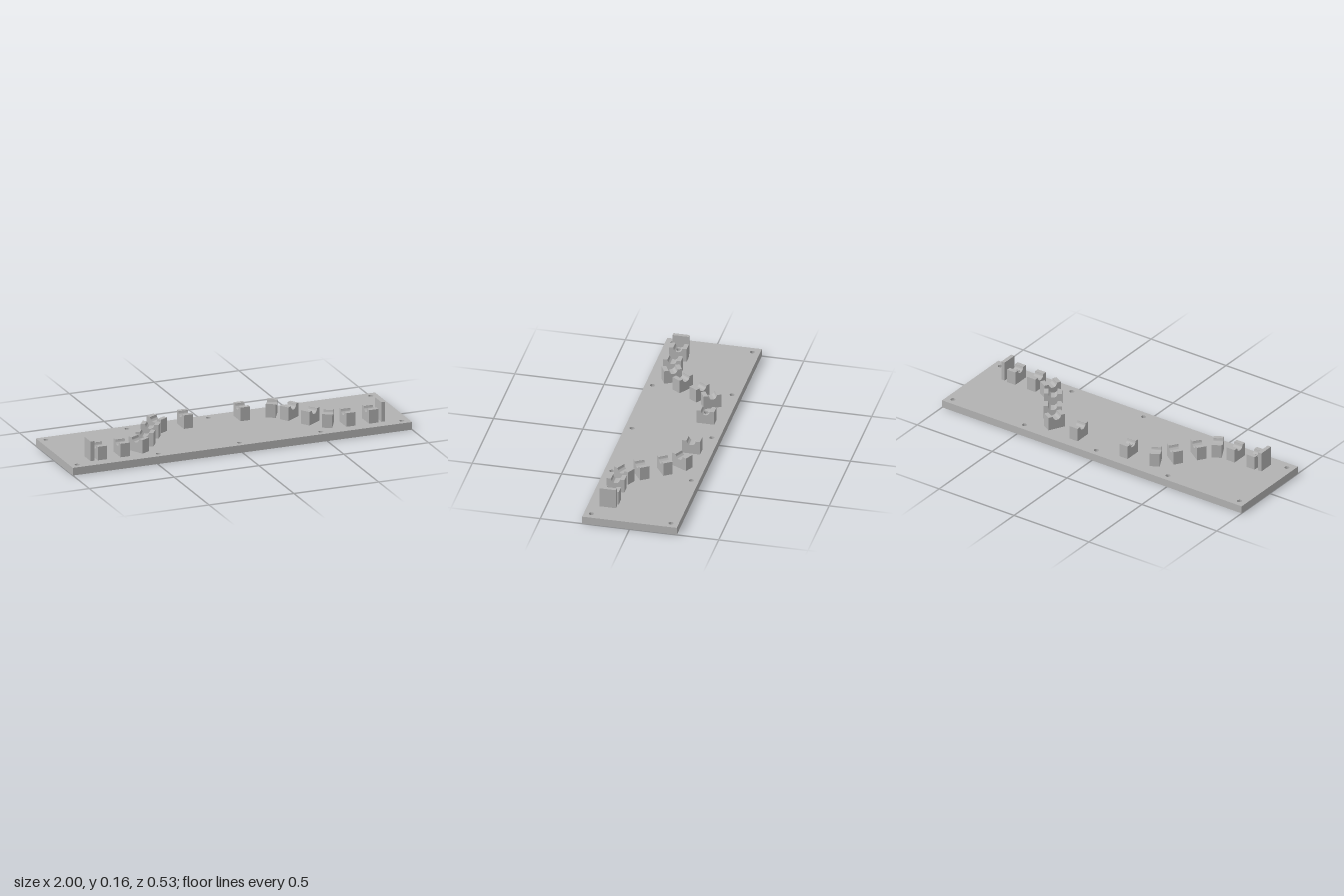
import * as THREE from 'three';
import { toCreasedNormals } from 'three/addons/utils/BufferGeometryUtils.js';

const BASE = 0.044, TOP = 0.122, WIDTH = 0.1, LENGTH = 0.055, GROOVE = 0.025, BORE = 0.013;

export function createModel() {
  const model = new THREE.Group();
  const grey = new THREE.MeshStandardMaterial({ color: 0xb2b2b2 });
  grey.name = 'plain grey';

  const add = (parent, geometry, name) => {
    const mesh = new THREE.Mesh(geometry, grey);
    mesh.name = name;
    parent.add(mesh);
    return mesh;
  };
  const extrude = (shape, depth, z = 0) => toCreasedNormals(
    new THREE.ExtrudeGeometry(shape, { depth, bevelEnabled: false, curveSegments: 24 }).translate(0, 0, z), 0.6);
  const rectangle = (x0, x1, y0, y1) => new THREE.Shape([
    new THREE.Vector2(x0, y0), new THREE.Vector2(x1, y0), new THREE.Vector2(x1, y1), new THREE.Vector2(x0, y1)]);
  const circle = (x, y, r) => new THREE.Path().absarc(x, y, r, 0, Math.PI * 2, true);

  // Base plate with ten through holes
  const plate = rectangle(-1, 1, -0.265, 0.265);
  for (const x of [-0.957, -0.479, 0, 0.479, 0.957]) {
    for (const y of [-0.223, 0.223]) plate.holes.push(circle(x, y, 0.014));
  }
  add(model, extrude(plate, BASE).rotateX(-Math.PI / 2), 'basePlate');

  // Saddle section: a block with a half-round channel along its local z
  const saddle = new THREE.Shape();
  saddle.moveTo(-WIDTH / 2, BASE);
  saddle.lineTo(WIDTH / 2, BASE);
  saddle.lineTo(WIDTH / 2, TOP);
  saddle.lineTo(GROOVE, TOP);
  saddle.absarc(0, TOP, GROOVE, 0, -Math.PI, true);
  saddle.lineTo(-WIDTH / 2, TOP);
  saddle.closePath();
  const plainBlock = extrude(saddle, LENGTH, -LENGTH / 2);

  // Core around a vertical bore, its top following the channel
  function boredCore() {
    const points = [], n = 8;
    const corners = [[-1, -1], [1, -1], [1, 1], [-1, 1]];
    const half = BORE + 0.004;
    corners.forEach(([x, y], i) => {
      const [u, v] = corners[(i + 1) % 4];
      for (let k = 0; k < n; k++) {
        points.push(new THREE.Vector2((x + (u - x) * k / n) * half, (y + (v - y) * k / n) * half));
      }
    });
    const shape = new THREE.Shape(points);
    shape.holes.push(circle(0, 0, BORE));
    const g = new THREE.ExtrudeGeometry(shape, { depth: 1, bevelEnabled: false, curveSegments: 24 });
    g.rotateX(-Math.PI / 2);
    const p = g.attributes.position;
    for (let i = 0; i < p.count; i++) {
      const x = p.getX(i);
      p.setY(i, p.getY(i) > 0.5 ? TOP - Math.sqrt(GROOVE * GROOVE - x * x) : BASE);
    }
    return toCreasedNormals(g, 0.6);
  }

  // Side cheek beside the bored core
  const half = BORE + 0.004;
  const cheek = new THREE.Shape();
  const angle = Math.acos(half / GROOVE);
  cheek.moveTo(half, BASE);
  cheek.lineTo(WIDTH / 2, BASE);
  cheek.lineTo(WIDTH / 2, TOP);
  cheek.lineTo(GROOVE, TOP);
  cheek.absarc(0, TOP, GROOVE, 0, -angle, true);
  cheek.closePath();
  const cheekGeometry = extrude(cheek, half * 2, -half);
  const endDepth = LENGTH / 2 - half;
  const endGeometry = extrude(saddle, endDepth, half);
  const coreGeometry = boredCore();

  function addBlock(x, z, direction, bored) {
    const block = new THREE.Group();
    block.name = bored ? 'boredSaddleBlock' : 'saddleBlock';
    block.position.set(x, 0, z);
    block.rotation.y = Math.PI / 2 - direction;
    if (bored) {
      add(block, coreGeometry, 'boreCore');
      for (const turn of [0, Math.PI]) {
        add(block, cheekGeometry, 'blockCheek').rotation.y = turn;
        add(block, endGeometry, 'blockEnd').rotation.y = turn;
      }
    } else add(block, plainBlock, 'blockBody');
    model.add(block);
  }

  // Mirrored row of saddles following the bent path: x, z, heading in degrees, bore
  const stations = [
    [0.167, -0.153, 0, 'left out'], [0.338, -0.139, 28], [0.409, -0.057, 56],
    [0.486, 0.055, 56], [0.558, 0.134, 28], [0.665, 0.152, 0], [0.799, 0.152, 0, 'both'],
  ];
  for (const side of [1, -1]) {
    for (const [x, z, degrees, bore] of stations) {
      const bored = bore === 'both' || (bore === 'left out' && side < 0);
      addBlock(side * x, z, side * THREE.MathUtils.degToRad(degrees), bored);
    }
    // End stop plate
    const height = 0.157 - BASE;
    add(model, new THREE.BoxGeometry(0.022, height, 0.091), 'endStop')
      .position.set(side * 0.857, BASE + height / 2, 0.153);
  }
  return model;
}
